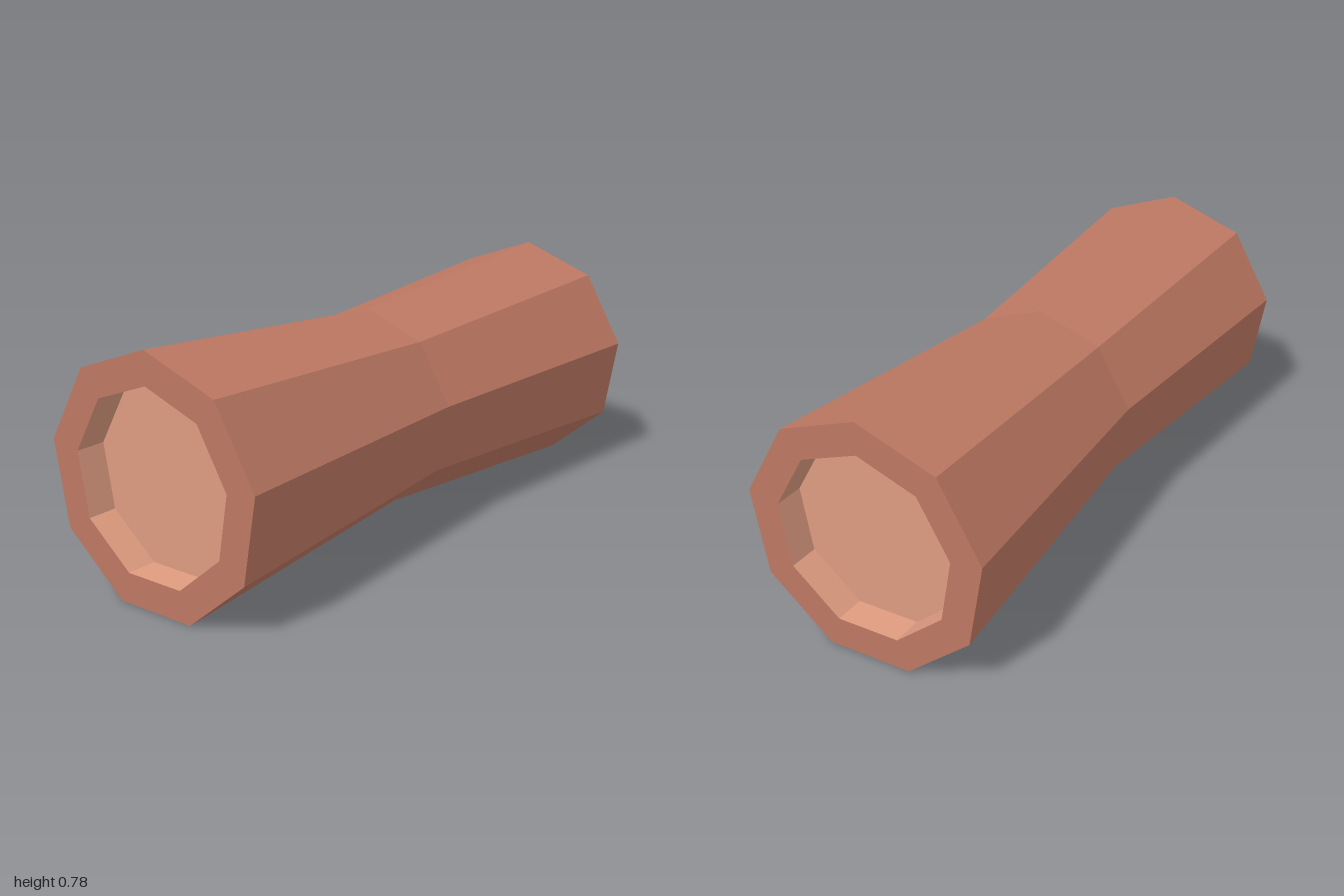
import * as THREE from 'three';

const SIDES = 9;
const END_R = 0.404, WAIST_R = 0.331, HOLLOW_R = 0.3;
const HALF = 1, FLOOR_Z = 0.9, CENTRE_Y = 0.379;

// Faceted ring surface along z with one corner pointing straight up
function facetedTube(profile) {
  const points = profile.map(([r, z]) => new THREE.Vector2(r, z));
  const geometry = new THREE.LatheGeometry(points, SIDES).rotateX(-Math.PI / 2).toNonIndexed();
  geometry.computeVertexNormals();
  return geometry;
}

export function createModel() {
  const bark = new THREE.MeshStandardMaterial({ color: 0xbd7862 });
  bark.name = 'bark';
  const wood = new THREE.MeshStandardMaterial({ color: 0xde9b80 });
  wood.name = 'innerWood';

  const log = new THREE.Group();
  log.name = 'log';
  log.position.y = CENTRE_Y;

  const add = (name, geometry, material, parent) => {
    const mesh = new THREE.Mesh(geometry, material);
    mesh.name = name;
    parent.add(mesh);
  };

  // Bark shell, narrow at the waist, with a flat rim on each end
  add('barkShell', facetedTube([
    [HOLLOW_R, -HALF], [END_R, -HALF], [WAIST_R, 0], [END_R, HALF], [HOLLOW_R, HALF],
  ]), bark, log);

  // Shallow hollow in each end
  for (const [name, turn] of [['frontHollow', 0], ['backHollow', Math.PI]]) {
    const hollow = new THREE.Group();
    hollow.name = name;
    hollow.rotation.y = turn;
    // The profile runs along -z after turning, so the wall is turned to the +z end
    const wall = facetedTube([[HOLLOW_R, HALF], [HOLLOW_R, FLOOR_Z]]).rotateY(Math.PI);
    add('hollowWall', wall, wood, hollow);
    const floor = new THREE.CircleGeometry(HOLLOW_R, SIDES, Math.PI / 2).translate(0, 0, FLOOR_Z);
    add('hollowFloor', floor, wood, hollow);
    log.add(hollow);
  }

  const model = new THREE.Group();
  model.name = 'hollowLog';
  model.add(log);
  return model;
}
